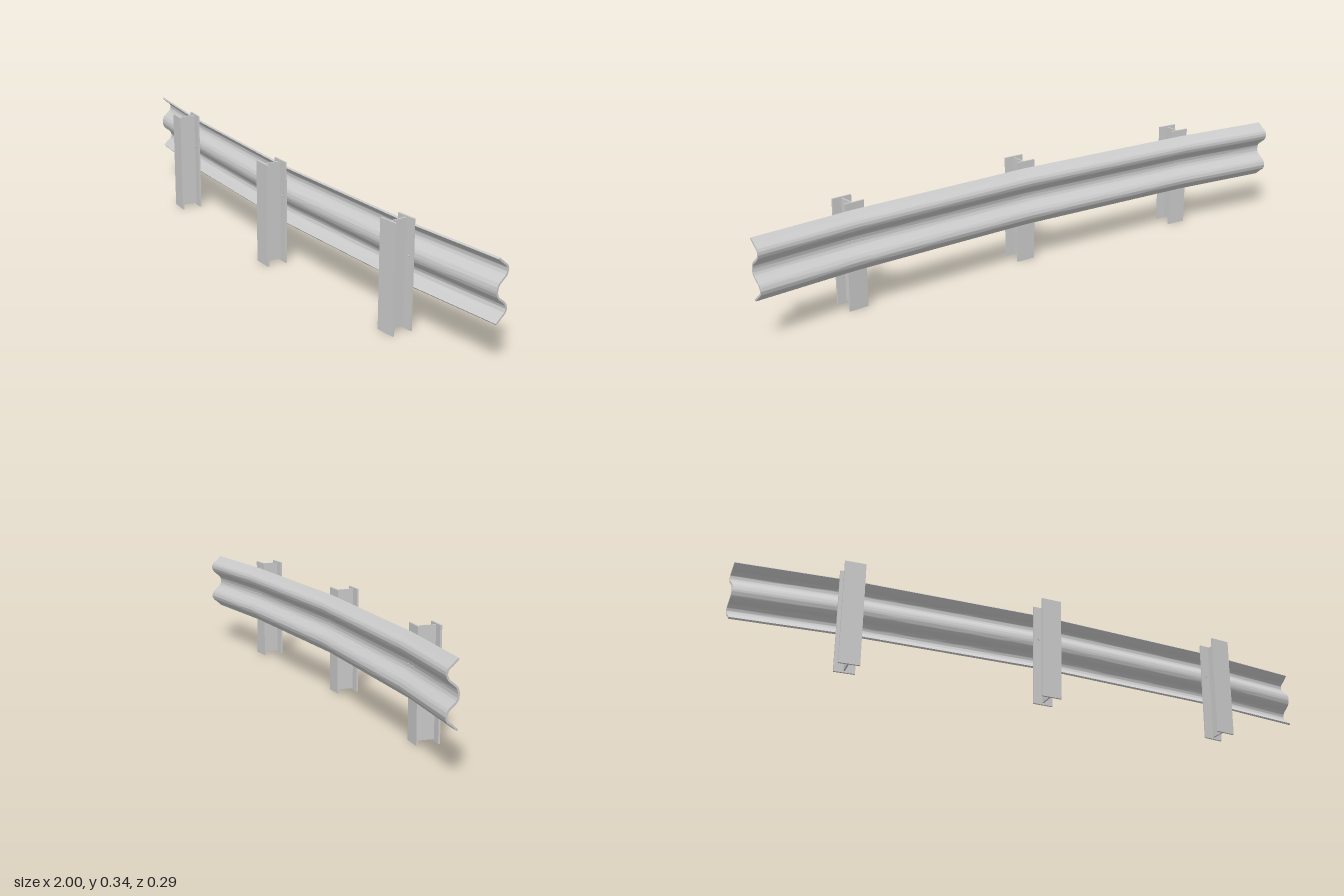
import * as THREE from 'three';
import { toCreasedNormals } from 'three/addons/utils/BufferGeometryUtils.js';

const material = new THREE.MeshStandardMaterial({ color: 0xcccccc });
const RAIL_MID = 0.2275;
const SHEET = 0.006;

// Line followed by the rail in plan: straight runs that bend at each post
const PATH = [[-1, -0.103], [-0.65, -0.037], [0, 0.043], [0.65, 0.073], [1, 0.066]];

function pathZ(x) {
  let i = 1;
  while (i < PATH.length - 1 && x > PATH[i][0]) i++;
  const [x0, z0] = PATH[i - 1], [x1, z1] = PATH[i];
  return z0 + (z1 - z0) * (x - x0) / (x1 - x0);
}

function addMesh(parent, name, geometry, x = 0, y = 0, z = 0) {
  const mesh = new THREE.Mesh(geometry, material);
  mesh.name = name;
  mesh.position.set(x, y, z);
  parent.add(mesh);
  return mesh;
}

// W-shaped sheet: bulge and height above the middle, mirrored downwards
function railShape() {
  const half = [[0, 0.0975], [0.018, 0.0815], [0.031, 0.071], [0.036, 0.057],
    [0.030, 0.040], [0.018, 0.029], [0.005, 0.018], [0, 0.008]];
  const points = [...half, ...half.slice().reverse().map(([d, y]) => [d, -y])];
  const curve = new THREE.CatmullRomCurve3(
    points.map(([d, y]) => new THREE.Vector3(d + SHEET, RAIL_MID + y, 0)));
  const outer = [], inner = [];
  for (let i = 0; i <= 72; i++) {
    const p = curve.getPoint(i / 72), t = curve.getTangent(i / 72);
    outer.push(new THREE.Vector2(p.x, p.y));
    inner.push(new THREE.Vector2(p.x + t.y * SHEET, p.y - t.x * SHEET));
  }
  return new THREE.Shape([...outer, ...inner.reverse()]);
}

function buildRail() {
  const geometry = new THREE.ExtrudeGeometry(railShape(), { depth: 2, steps: 40, bevelEnabled: false });
  geometry.translate(0, 0, -1).rotateY(Math.PI / 2);
  // Bend the straight sheet along the path
  const pos = geometry.attributes.position;
  for (let i = 0; i < pos.count; i++) pos.setZ(i, pos.getZ(i) + pathZ(pos.getX(i)));
  geometry.computeVertexNormals();
  return toCreasedNormals(geometry, 0.6);
}

// I-section post; its origin is the middle of the face that meets the rail
function buildPost() {
  const post = new THREE.Group();
  post.name = 'post';
  const width = 0.067, depth = 0.073, height = 0.345, t = 0.006;
  const flange = new THREE.BoxGeometry(width, height, t);
  addMesh(post, 'railSideFlange', flange, 0, height / 2, t / 2);
  addMesh(post, 'outerFlange', flange, 0, height / 2, depth - t / 2);
  addMesh(post, 'web', new THREE.BoxGeometry(0.005, 0.335, depth - 2 * t), 0, 0.1735, depth / 2);

  // Bolts through the rail valley and flange, either side of the web
  const shank = new THREE.CylinderGeometry(0.002, 0.002, 0.02, 10).rotateX(Math.PI / 2);
  const hex = new THREE.CylinderGeometry(0.0035, 0.0035, 0.003, 6).rotateX(Math.PI / 2);
  for (const side of [-1, 1]) {
    const x = side * 0.017;
    addMesh(post, 'boltShank', shank, x, RAIL_MID, 0);
    addMesh(post, 'boltHead', hex, x, RAIL_MID, -0.008);
    addMesh(post, 'boltNut', hex, x, RAIL_MID, t + 0.0015);
  }
  return post;
}

export function createModel() {
  const model = new THREE.Group();
  model.name = 'guardRail';
  addMesh(model, 'rail', buildRail());

  // Each post is turned square to the rail
  for (const [x, z, turn] of [[-0.652, -0.036, -0.157], [-0.007, 0.045, -0.085], [0.643, 0.073, 0]]) {
    const post = buildPost();
    post.position.set(x, 0, z);
    post.rotation.y = turn;
    model.add(post);
  }
  return model;
}
